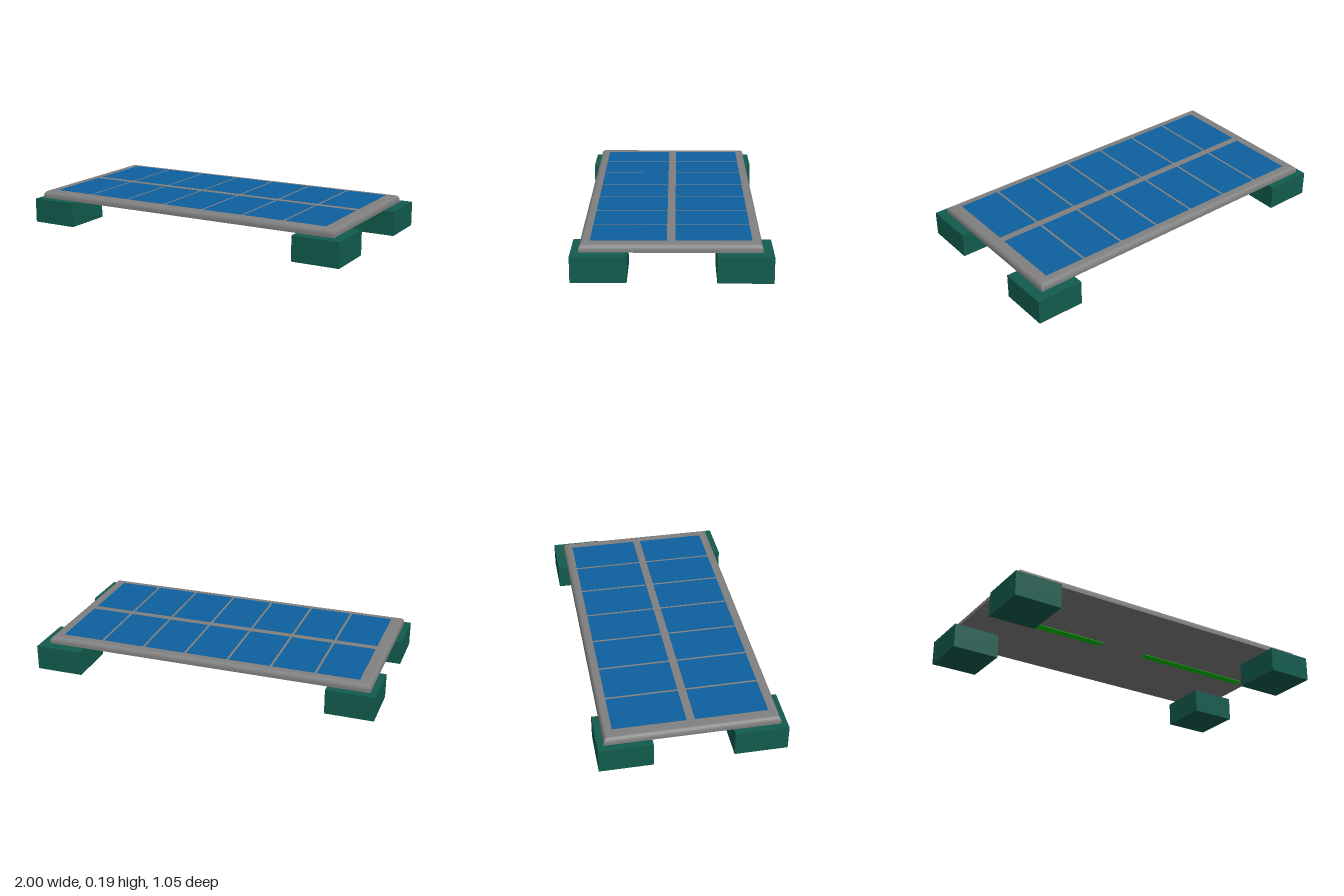
import * as THREE from 'three';
import { toCreasedNormals } from 'three/addons/utils/BufferGeometryUtils.js';

const mat = (color) => new THREE.MeshStandardMaterial({ color });

function add(parent, name, geometry, material, x, y, z) {
  const mesh = new THREE.Mesh(geometry, material);
  mesh.name = name;
  mesh.position.set(x, y, z);
  parent.add(mesh);
  return mesh;
}

// Slab lofted from stacked rectangles, each given as [inset, height]
function loftedSlab(width, depth, levels) {
  const pos = [], index = [];
  levels.forEach(([inset, y]) => {
    const a = width / 2 - inset, b = depth / 2 - inset;
    pos.push(-a, y, b, a, y, b, a, y, -b, -a, y, -b);
  });
  for (let l = 0; l < levels.length - 1; l++) {
    for (let i = 0; i < 4; i++) {
      const p = l * 4 + i, q = l * 4 + (i + 1) % 4;
      index.push(p, q, q + 4, p, q + 4, p + 4);
    }
  }
  const t = (levels.length - 1) * 4;
  index.push(t, t + 1, t + 2, t, t + 2, t + 3, 0, 2, 1, 0, 3, 2);
  const g = new THREE.BufferGeometry();
  g.setAttribute('position', new THREE.Float32BufferAttribute(pos, 3));
  g.setIndex(index);
  return toCreasedNormals(g, 0.6);
}

export function createModel() {
  const model = new THREE.Group();
  model.name = 'solarPanel';
  const grey = mat(0x808080), blue = mat(0x0d60a0);
  const teal = mat(0x125c4e), green = mat(0x00c800);

  // Panel body with rounded upper rim and mitred corners
  const bottom = 0.147, top = 0.19, r = 0.03;
  const levels = [[0, bottom]];
  for (let i = 0; i <= 6; i++) {
    const a = (i / 6) * Math.PI / 2;
    levels.push([r * (1 - Math.cos(a)), top - r + r * Math.sin(a)]);
  }
  add(model, 'panelFrame', loftedSlab(1.905, 0.955, levels), grey, -0.012, 0, 0.004);

  // Two rows of seven cells
  const cells = new THREE.Group();
  cells.name = 'cells';
  model.add(cells);
  const cellGeo = new THREE.BoxGeometry(0.24, 0.004, 0.4);
  for (const z of [-0.22, 0.225]) {
    for (let i = 0; i < 7; i++) {
      add(cells, 'cell', cellGeo, blue, -0.774 + i * 0.2542, top - 0.001, z);
    }
  }

  // Four support blocks, slightly out of line with each other
  const feet = [
    ['frontRightFoot', -0.8625, 0.37],
    ['backRightFoot', -0.8625, -0.3625],
    ['frontLeftFoot', 0.855, 0.378],
    ['backLeftFoot', 0.861, -0.382],
  ];
  const footGeo = new THREE.BoxGeometry(0.275, 0.143, 0.294);
  for (const [name, x, z] of feet) add(model, name, footGeo, teal, x, 0.0715, z);

  // Strips below the panel, each ending in two shallow domes
  const domeGeo = new THREE.SphereGeometry(0.033, 20, 8, 0, Math.PI * 2, Math.PI / 2, Math.PI / 2);
  domeGeo.scale(1, 0.25, 1);
  const stripGeo = new THREE.BoxGeometry(0.74, 0.004, 0.05);
  for (const [name, a, b] of [['rightStrip', -0.925, -0.13], ['leftStrip', 0.11, 0.905]]) {
    add(model, name, stripGeo, green, (a + b) / 2, bottom - 0.001, 0.004);
    for (const x of [a, b]) add(model, 'stripDome', domeGeo, grey, x, bottom, 0.004);
  }
  return model;
}
